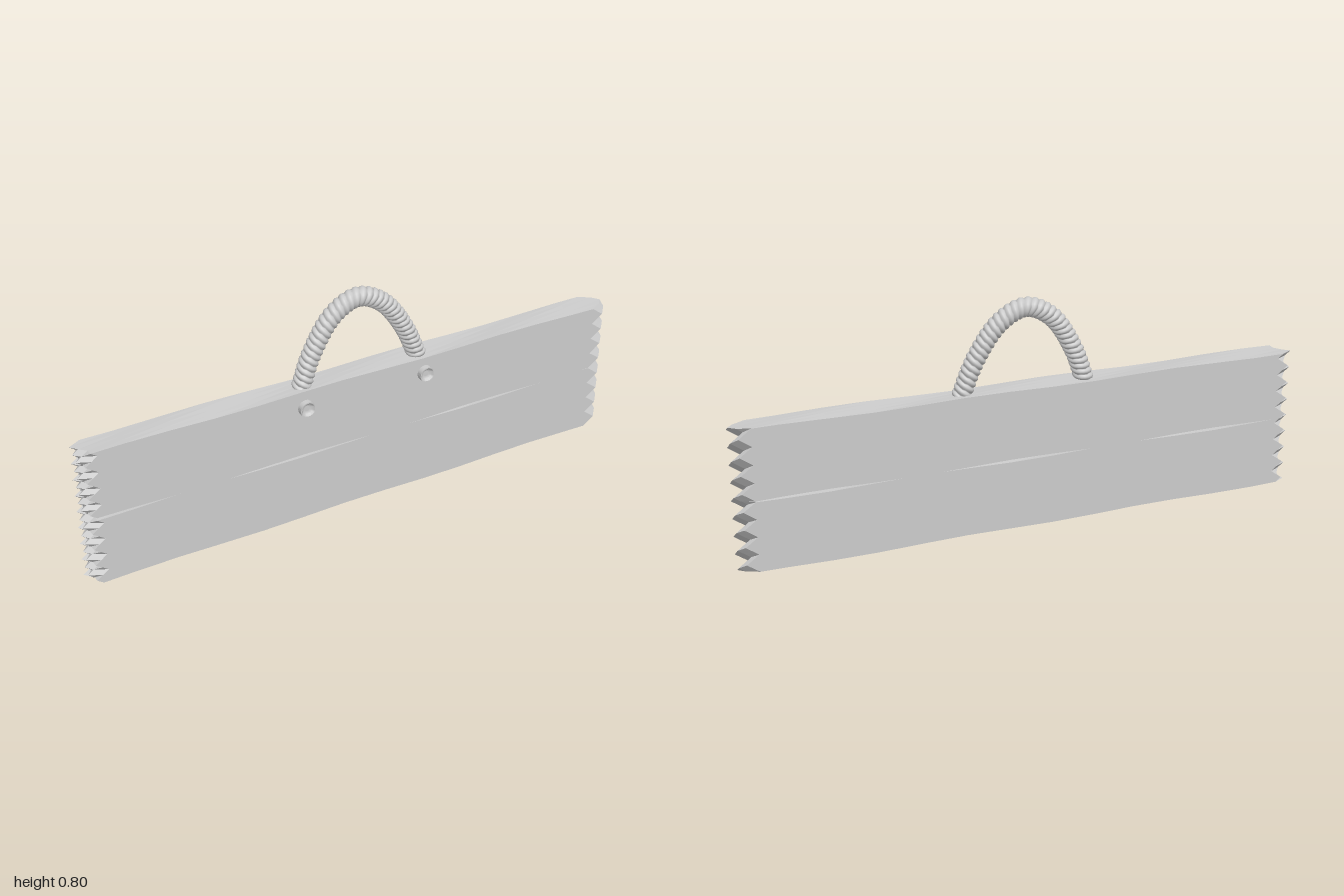
import * as THREE from 'three';
import { toCreasedNormals } from 'three/addons/utils/BufferGeometryUtils.js';
import { ParametricGeometry } from 'three/addons/geometries/ParametricGeometry.js';

const flat = new THREE.MeshStandardMaterial({ color: 0xcccccc, flatShading: true });
const smooth = new THREE.MeshStandardMaterial({ color: 0xcccccc, side: THREE.DoubleSide });

const ROWS = 16, LAYERS = 4, HALF = 2; // HALF: rows from a tooth's tip to its notch
const BACK = -0.055, FRONT = 0.04;

// A plank with wavy long edges and slanted, splintered ends
function plank(name, y0, y1, seed) {
  const geo = new THREE.BoxGeometry(1, 1, 1, 13, ROWS, LAYERS);
  const p = geo.attributes.position;
  for (let i = 0; i < p.count; i++) {
    const u = p.getX(i), v = p.getY(i), w = p.getZ(i);
    const row = Math.round((v + 0.5) * ROWS), layer = Math.round((w + 0.5) * LAYERS);
    let x = u * 2;
    if (Math.abs(u) > 0.499) {
      // the tooth pattern climbs one row per layer towards the back
      const phase = (row + layer + (u > 0 ? 0 : 1)) % (2 * HALF);
      const notch = Math.abs(phase - HALF) / HALF;
      const edge = layer === 0 || layer === LAYERS ? 0.022 : 0;
      x = Math.sign(u) * (1 - edge - 0.042 * notch);
    }
    const wave = side => 0.003 * (1 + Math.sin(x * 9 + seed + side * 2 + w * 2.5));
    const bottom = y0 + wave(0), top = y1 - wave(1);
    p.setXYZ(i, x, bottom + (top - bottom) * (v + 0.5), BACK + (FRONT - BACK) * (w + 0.5));
  }
  geo.computeVertexNormals();
  const mesh = new THREE.Mesh(geo, flat);
  mesh.name = name;
  return mesh;
}

// Twisted rope following an arch
function ropeHandle() {
  const path = new THREE.CatmullRomCurve3([
    [-0.22, 0.46], [-0.17, 0.6], [-0.09, 0.72], [0, 0.762], [0.09, 0.722], [0.175, 0.61], [0.24, 0.46],
  ].map(([x, y]) => new THREE.Vector3(x, y, -0.005)));
  const ridges = 38, strands = 2;
  const geo = new ParametricGeometry((u, v, target) => {
    const a = u * Math.PI * 2;
    const c = path.getPointAt(v), t = path.getTangentAt(v);
    const r = 0.0285 + 0.0055 * Math.abs(Math.sin((strands * a + ridges * 2 * Math.PI * v) / 2));
    target.set(c.x - t.y * r * Math.cos(a), c.y + t.x * r * Math.cos(a), c.z + r * Math.sin(a));
  }, 18, ridges * 6);
  const mesh = new THREE.Mesh(geo, smooth);
  mesh.name = 'ropeHandle';
  return mesh;
}

// Round peg with a dished face
function peg(name, x) {
  const profile = [[0.028, -0.01], [0.028, 0.02], [0.024, 0.02], [0.018, 0.012], [0.01, 0.008], [0, 0.007]];
  const lathe = new THREE.LatheGeometry(profile.map(([r, h]) => new THREE.Vector2(r, h)), 20);
  const mesh = new THREE.Mesh(toCreasedNormals(lathe, 0.6), smooth);
  mesh.name = name;
  mesh.rotation.x = Math.PI / 2;
  mesh.position.set(x, 0.434, FRONT);
  return mesh;
}

export function createModel() {
  const group = new THREE.Group();
  group.name = 'hangingSign';
  group.add(
    plank('lowerPlank', 0, 0.25, 0.6),
    plank('upperPlank', 0.248, 0.496, 2.4),
    ropeHandle(),
    peg('rightPeg', -0.219),
    peg('leftPeg', 0.235),
  );
  return group;
}
